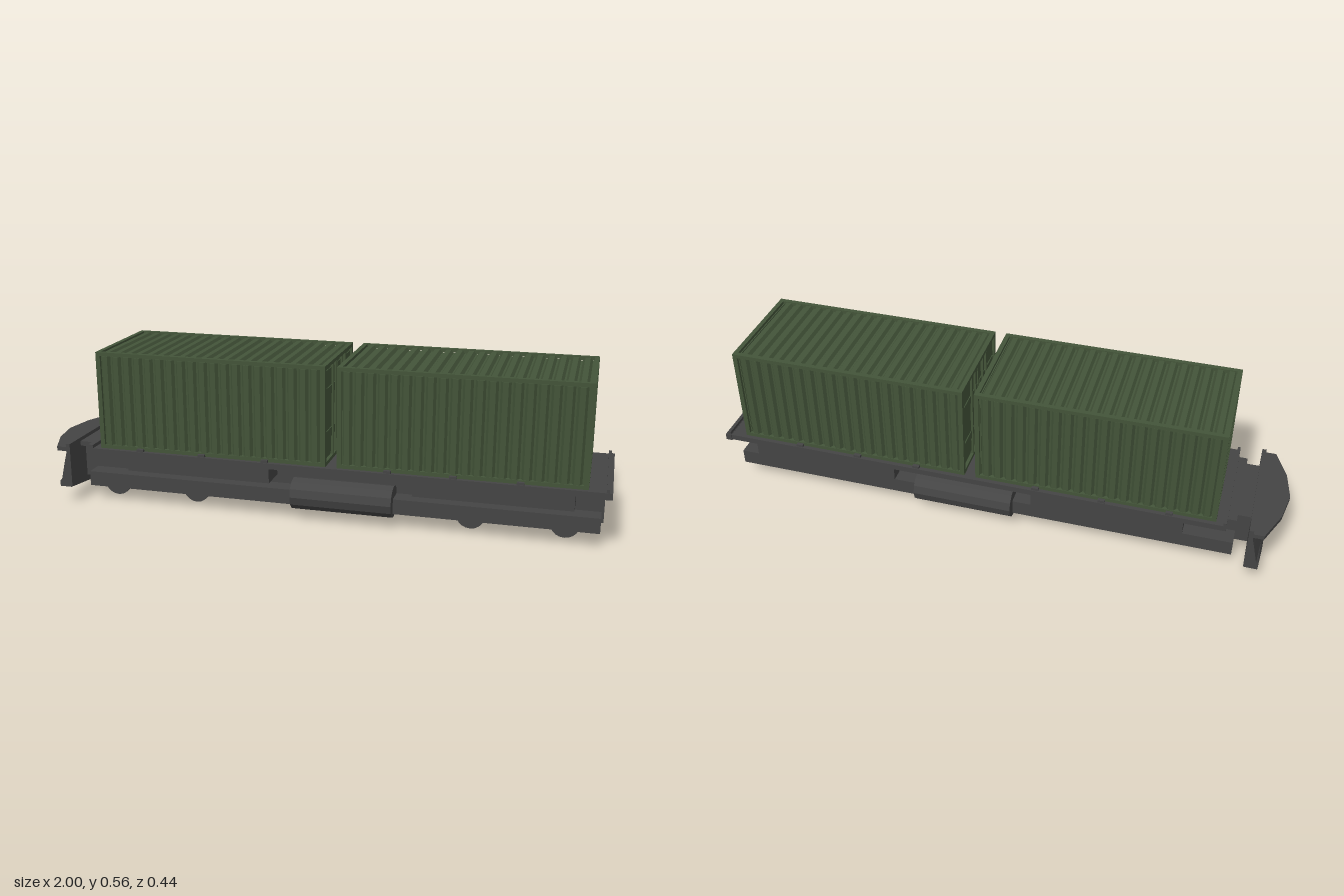
import * as THREE from 'three';

const steel = new THREE.MeshStandardMaterial({ color: 0x444444, flatShading: true });
const green = new THREE.MeshStandardMaterial({ color: 0x435439, flatShading: true });

function add(parent, name, geometry, material) {
  const mesh = new THREE.Mesh(geometry, material);
  mesh.name = name;
  parent.add(mesh);
  return mesh;
}

// Box given by its limits on each axis
function box(parent, name, material, x0, x1, y0, y1, z0, z1) {
  const mesh = add(parent, name, new THREE.BoxGeometry(x1 - x0, y1 - y0, z1 - z0), material);
  mesh.position.set((x0 + x1) / 2, (y0 + y1) / 2, (z0 + z1) / 2);
  return mesh;
}

function extrude(points, depth, steps = 1) {
  const shape = new THREE.Shape(points.map(([x, y]) => new THREE.Vector2(x, y)));
  return new THREE.ExtrudeGeometry(shape, { depth, steps, bevelEnabled: false });
}

// Trapezoid waves along x between two heights
function waves(x0, x1, low, high, count) {
  const points = [];
  const pitch = (x1 - x0) / count;
  for (let i = 0; i < count; i++) {
    const x = x0 + i * pitch;
    points.push([x, low], [x + pitch * 0.2, high], [x + pitch * 0.65, high], [x + pitch * 0.85, low]);
  }
  points.push([x1, low]);
  return points;
}

function createContainer() {
  const group = new THREE.Group();
  group.name = 'container';
  const L = 0.415, W = 0.195, B = 0.21, T = 0.56, r = 0.016;

  // Corrugated walls: both long sides in one outline, extruded upwards
  const side = waves(-L + r, L - r, W - 0.013, W - 0.002, 20);
  const outline = [...side, ...side.map(([x, y]) => [x, -y]).reverse()];
  const walls = add(group, 'corrugatedWalls', extrude(outline, T - B - 0.025), green);
  walls.rotation.x = -Math.PI / 2;
  walls.position.y = B + 0.01;

  // Corrugated roof
  const roofLine = waves(-L + r, L - r, T - 0.014, T - 0.003, 20);
  const roof = add(group, 'corrugatedRoof',
    extrude([[L - r, T - 0.03], [-L + r, T - 0.03], ...roofLine], 2 * (W - r)), green);
  roof.position.z = -(W - r);

  // Corner posts and rails
  for (const s of [-1, 1]) {
    for (const e of [-1, 1]) {
      const x = e * (L - r / 2), z = s * (W - r / 2);
      box(group, 'cornerPost', green, x - r / 2, x + r / 2, B, T, z - r / 2, z + r / 2);
    }
    for (const [y0, y1] of [[B, B + 0.013], [T - 0.013, T]]) {
      const z = s * (W - r / 2), x = s * (L - r / 2);
      box(group, 'sideRail', green, -L + r, L - r, y0, y1, z - r / 2, z + r / 2);
      box(group, 'endRail', green, x - r / 2, x + r / 2, y0, y1, -W + r, W - r);
    }
  }

  // Double doors with raised panels and locking rods on each end
  for (const e of [-1, 1]) {
    const plate = (name, out, depth, y0, y1, z0, z1) => {
      const a = e * (L - depth), b = e * (L - out);
      box(group, name, green, Math.min(a, b), Math.max(a, b), y0, y1, z0, z1);
    };
    plate('doorBack', 0.011, 0.02, B + 0.01, T - 0.01, -W + 0.01, W - 0.01);
    for (const s of [-1, 1]) {
      const span = (a, b) => [Math.min(s * a, s * b), Math.max(s * a, s * b)];
      plate('door', 0.008, 0.015, 0.235, 0.533, ...span(0.005, 0.179));
      for (const y of [0.308, 0.458]) plate('doorPanel', 0.005, 0.012, y - 0.015, y + 0.015, ...span(0.011, 0.173));
      for (const z of [0.042, 0.082]) plate('lockingRod', 0, 0.012, 0.215, 0.546, ...span(z - 0.003, z + 0.003));
    }
  }
  return group;
}

function createPlow() {
  const group = new THREE.Group();
  group.name = 'plow';
  const W = 0.222;

  // Pointed top plate
  const tip = [[-0.885, -W], [-0.885, W], [-0.935, W], [-0.981, 0.11], [-1, 0], [-0.981, -0.11], [-0.935, -W]];
  const top = add(group, 'plowTopPlate', extrude(tip, 0.015), steel);
  top.rotation.x = -Math.PI / 2;
  top.position.y = 0.195;

  // Flared blade, dipping and bulging towards the middle
  const blade = extrude([[-0.888, 0.03], [-0.888, 0.2], [-0.905, 0.2], [-0.918, 0.15], [-0.932, 0.09], [-0.94, 0.05], [-0.94, 0.03]], 2 * W, 4);
  blade.translate(0, 0, -W);
  const p = blade.attributes.position;
  for (let i = 0; i < p.count; i++) {
    const t = Math.abs(p.getZ(i)) / W;
    if (p.getY(i) < 0.08) p.setY(i, p.getY(i) + 0.03 * t);
    if (p.getX(i) < -0.89) p.setX(i, p.getX(i) + 0.008 * t * t);
  }
  blade.computeVertexNormals();
  add(group, 'plowBlade', blade, steel);
  box(group, 'plowBackPlate', steel, -0.9, -0.885, 0.062, 0.222, -W, W);
  return group;
}

export function createModel() {
  const model = new THREE.Group();
  model.name = 'containerWagon';

  // Deck with end lips and neck towards the plow
  box(model, 'deck', steel, -0.81, 0.995, 0.19, 0.21, -0.21, 0.21);
  box(model, 'endBeam', steel, 0.978, 1, 0.188, 0.211, -0.213, 0.213);
  box(model, 'endLip', steel, 0.98, 0.99, 0.21, 0.222, -0.21, 0.21);
  box(model, 'endLip', steel, -0.81, -0.8, 0.21, 0.222, -0.21, 0.21);
  box(model, 'neck', steel, -0.89, -0.81, 0.192, 0.209, -0.14, 0.14);
  box(model, 'neckStep', steel, -0.84, -0.81, 0.192, 0.209, -0.17, 0.17);

  // Underframe
  box(model, 'centreBeam', steel, -0.89, 0.978, 0.068, 0.19, -0.103, 0.103);
  box(model, 'lowerFrame', steel, -0.84, 0.97, 0.053, 0.106, -0.167, 0.167);

  for (const s of [-1, 1]) {
    // Side boxes below the deck
    for (const [a, b] of [[-0.67, -0.145], [0.355, 0.885]]) {
      const side = box(model, 'sideBox', steel, a, b, 0.135, 0.19, 0.1, 0.2);
      side.position.z *= s;
    }
    // Side tank
    const tank = add(model, 'sideTank', new THREE.CylinderGeometry(0.056, 0.056, 0.355, 12), steel);
    tank.rotation.z = Math.PI / 2;
    tank.position.set(0.107, 0.092, s * 0.149);
    // Deck lugs
    for (const x of [-0.62, -0.39, -0.16, 0.27, 0.49, 0.71]) {
      box(model, 'deckLug', steel, x - 0.012, x + 0.012, 0.205, 0.219, s * 0.2 - 0.007, s * 0.2 + 0.007);
    }
    // Wheels
    for (const x of [-0.765, -0.455, 0.54, 0.855]) {
      const wheel = add(model, 'wheel', new THREE.CylinderGeometry(0.05, 0.05, 0.014, 20), steel);
      wheel.rotation.x = Math.PI / 2;
      wheel.position.set(x, 0.05, s * 0.09);
    }
  }

  // Two containers
  for (const x of [-0.36, 0.51]) {
    const container = createContainer();
    container.position.x = x;
    model.add(container);
  }

  model.add(createPlow());
  return model;
}
